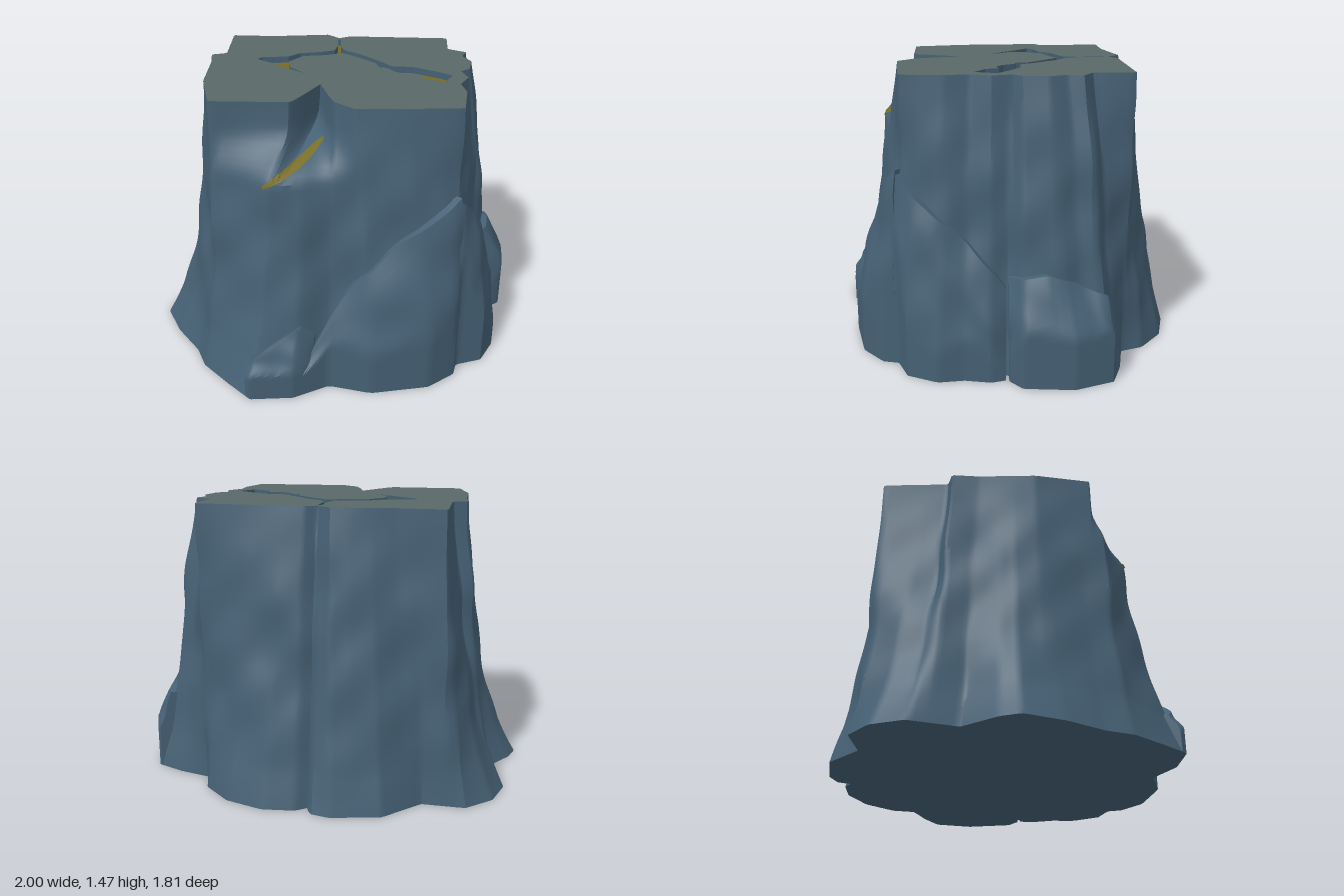
import * as THREE from 'three';
import { toCreasedNormals } from 'three/addons/utils/BufferGeometryUtils.js';

const H = 1.47, RAD = Math.PI / 180;

// Plan outlines as [x, z] corners
const baseOutline = [[-0.85, -0.15], [-0.95, -0.38], [-0.9, -0.55], [-0.77, -0.67], [-0.55, -0.67], [-0.38, -0.85],
  [-0.13, -0.91], [-0.03, -0.89], [0, -0.83], [0.05, -0.87], [0.22, -0.89], [0.42, -0.83], [0.57, -0.7], [0.61, -0.58], [0.78, -0.54],
  [0.93, -0.48], [1, -0.28], [0.97, -0.03], [0.88, 0.04], [0.9, 0.12], [0.87, 0.25], [0.88, 0.38], [0.8, 0.53],
  [0.66, 0.58], [0.64, 0.66], [0.5, 0.77], [0.2, 0.83], [-0.02, 0.78], [-0.2, 0.88], [-0.42, 0.9], [-0.55, 0.78],
  [-0.7, 0.63], [-0.76, 0.5], [-0.9, 0.32], [-1, 0.13], [-0.97, 0.03]];
const backTop = [[-0.68, 0.2], [-0.69, -0.1], [-0.71, -0.24], [-0.63, -0.27], [-0.64, -0.62], [-0.4, -0.61],
  [-0.08, -0.65], [-0.01, -0.58], [0.05, -0.62], [0.62, -0.6], [0.61, -0.39], [0.71, -0.33], [0.68, -0.26],
  [0.72, -0.17], [0.7, -0.04], [0.65, 0], [0.68, 0.1], [0.63, 0.2], [0.65, 0.32], [0.62, 0.54], [0.5, 0.55], [0.1, 0.57]];
const notchedTop = [...backTop, [0, 0.48], [-0.03, 0.4], [-0.08, 0.23], [-0.18, 0.44], [-0.21, 0.49], [-0.61, 0.49]];
const fullTop = [...backTop, [0, 0.6], [-0.3, 0.63], [-0.59, 0.54]];

// Distance from the axis to an outline along angle t (0 = front, 90 = +x)
function reach(outline, t) {
  const dx = Math.sin(t), dz = Math.cos(t);
  let best = 0;
  outline.forEach(([ax, az], i) => {
    const [bx, bz] = outline[(i + 1) % outline.length];
    const ca = dx * az - dz * ax, cb = dx * bz - dz * bx;
    if (ca * cb > 0 || ca === cb) return;
    const k = ca / (ca - cb);
    best = Math.max(best, (ax + (bx - ax) * k) * dx + (az + (bz - az) * k) * dz);
  });
  return best;
}

// Straight-line lookup in [[x, y], ...]
function lookup(table, x) {
  for (let i = 1; i < table.length; i++) {
    const [x0, y0] = table[i - 1], [x1, y1] = table[i];
    if (x <= x1) return y0 + (y1 - y0) * Math.max(0, (x - x0) / (x1 - x0));
  }
  return table[table.length - 1][1];
}

const flare = [[0, 1], [0.2, 0.8], [0.4, 0.66], [0.7, 0.48], [1, 0.34], [1.25, 0.17], [H, 0]];

// Radius of the main column at angle t and height y
function columnRadius(t, y) {
  const deg = Math.atan2(Math.sin(t), Math.cos(t)) / RAD;
  const f = lookup(flare, y) ** (1 + 0.8 * Math.max(0, Math.cos(t + 75 * RAD)));
  const top = THREE.MathUtils.lerp(reach(fullTop, t), reach(notchedTop, t), THREE.MathUtils.smoothstep(y, 1.1, 1.34));
  const tuck = 0.05 * THREE.MathUtils.smoothstep(deg, -14, -4) * (1 - THREE.MathUtils.smoothstep(deg, 112, 118));
  const rough = Math.sin(5 * t + 4 * y) * Math.sin(7 * y + 3 * t) + 0.6 * Math.sin(13 * t - 5 * y) * Math.sin(11 * y + 2);
  return top + (reach(baseOutline, t) - tuck - top) * f + 0.014 * rough * Math.sin(Math.PI * y / H);
}

// Grid surface: point(i, j) for i along the angle, j upward
function gridGeometry(nu, nv, point) {
  const pos = [], index = [];
  for (let j = 0; j <= nv; j++) for (let i = 0; i <= nu; i++) {
    const [t, y, r] = point(i, j);
    pos.push(r * Math.sin(t), y, r * Math.cos(t));
    if (i < nu && j < nv) {
      const a = j * (nu + 1) + i, c = a + nu + 1;
      index.push(a, a + 1, c + 1, a, c + 1, c);
    }
  }
  const g = new THREE.BufferGeometry();
  g.setAttribute('position', new THREE.Float32BufferAttribute(pos, 3));
  g.setIndex(index);
  return toCreasedNormals(g, 0.55);
}

// Rock slab hugging the column between two angles; heights = [[degrees, y], ...]
function slabGeometry(heights, thick) {
  const a0 = heights[0][0], a1 = heights[heights.length - 1][0], nu = 36, nv = 20;
  return gridGeometry(nu, nv, (i, j) => {
    const u = THREE.MathUtils.clamp((i - 1) / (nu - 2), 0, 1);
    const v = THREE.MathUtils.clamp((j - 1) / (nv - 2), 0, 1);
    const deg = a0 + (a1 - a0) * u, t = deg * RAD, y = v * lookup(heights, deg);
    const buried = i === 0 || i === nu || j === 0 || j === nv;
    const side = 1 - Math.abs(2 * u - 1) ** 4;
    const bulge = 0.03 + thick * Math.sin(Math.PI * Math.min(1, 0.3 + 0.7 * v)) * (0.4 + 0.6 * side)
      + 0.008 * Math.sin(9 * u + 6 * v) * Math.sin(8 * v);
    const limit = reach(baseOutline, t);
    return [t, y, buried ? columnRadius(t, y) - 0.06 : Math.min(limit, columnRadius(t, y) + bulge)];
  });
}

export function createModel() {
  const model = new THREE.Group();
  const rock = new THREE.MeshStandardMaterial({ color: 0x456074, side: THREE.DoubleSide });
  rock.name = 'blue rock';
  const topStone = new THREE.MeshStandardMaterial({ color: 0x5a6868 });
  topStone.name = 'grey top stone';
  const gold = new THREE.MeshStandardMaterial({ color: 0x766b20, side: THREE.DoubleSide });
  gold.name = 'dark gold';
  const add = (name, geometry, material, y = 0) => {
    const mesh = new THREE.Mesh(geometry, material);
    mesh.name = name;
    mesh.position.y = y;
    model.add(mesh);
  };

  // Main column; its first row closes the underside
  const N = 300, rows = 46;
  add('column', gridGeometry(N, rows, (i, j) => {
    const t = -Math.PI + (i / N) * 2 * Math.PI, y = H * Math.max(0, j - 1) / (rows - 1);
    return [t, y, j === 0 ? 0 : columnRadius(t, y)];
  }), rock);

  // Leaning slabs round the foot
  add('frontSlab', slabGeometry([[-15, 0.02], [-8, 0.22], [0, 0.42], [8, 0.57], [24, 0.76], [37, 0.9], [48, 1.01]], 0.07), rock);
  add('cornerSlab', slabGeometry([[47, 1.0], [55, 0.9], [70, 0.72], [83, 0.53], [87, 0.45]], 0.06), rock);
  add('rightSlab', slabGeometry([[88, 0.5], [100, 0.54], [110, 0.48], [118, 0.42]], 0.1), rock);
  add('smallSlab', slabGeometry([[-27, 0.2], [-20, 0.29], [-12, 0.37], [-7, 0.3]], 0.03), rock);

  // Flat top with a branching crack
  const vec = ([x, z]) => new THREE.Vector2(x, z);
  const crack = [[-0.02, -0.55], [0, -0.55], [0.005, -0.4], [0.03, -0.34], [0.12, -0.27], [0.25, -0.12], [0.28, -0.07],
    [0.4, -0.06], [0.52, 0.01], [0.6, 0.07], [0.55, 0.18], [0.45, 0.12], [0.42, 0.05], [0.36, 0.06], [0.3, 0.02],
    [0.26, -0.04], [0.22, -0.05], [0.2, -0.12], [0.1, -0.22], [0.02, -0.29], [-0.08, -0.25], [-0.2, -0.23],
    [-0.27, -0.13], [-0.26, -0.04], [-0.17, 0.06], [-0.28, -0.02], [-0.36, -0.1], [-0.45, -0.17], [-0.42, -0.2],
    [-0.28, -0.22], [-0.22, -0.28], [-0.1, -0.31], [-0.03, -0.34], [-0.015, -0.42]].map(vec);
  const rim = Array.from({ length: N }, (_, i) => {
    const t = -Math.PI + (i / N) * 2 * Math.PI, r = columnRadius(t, H) - 0.001;
    return new THREE.Vector2(r * Math.sin(t), r * Math.cos(t));
  });
  const capShape = new THREE.Shape(rim);
  capShape.holes.push(new THREE.Path(crack));
  add('topCap', new THREE.ExtrudeGeometry(capShape, { depth: 0.06, bevelEnabled: false }).rotateX(Math.PI / 2), [topStone, rock], H);
  add('crackFloor', new THREE.ShapeGeometry(new THREE.Shape(crack)).rotateX(Math.PI / 2), gold, H - 0.035);

  // Gold vein on the ledge below the front notch
  add('frontVein', gridGeometry(12, 3, (i, j) => {
    const k = i / 12, t = (-27 + 20 * k) * RAD;
    const y = 1.1 + 0.17 * k + (j / 3 - 0.5) * 0.055 * Math.sin(Math.PI * (0.08 + 0.84 * k));
    return [t, y, columnRadius(t, y) + 0.006];
  }), gold);

  return model;
}
